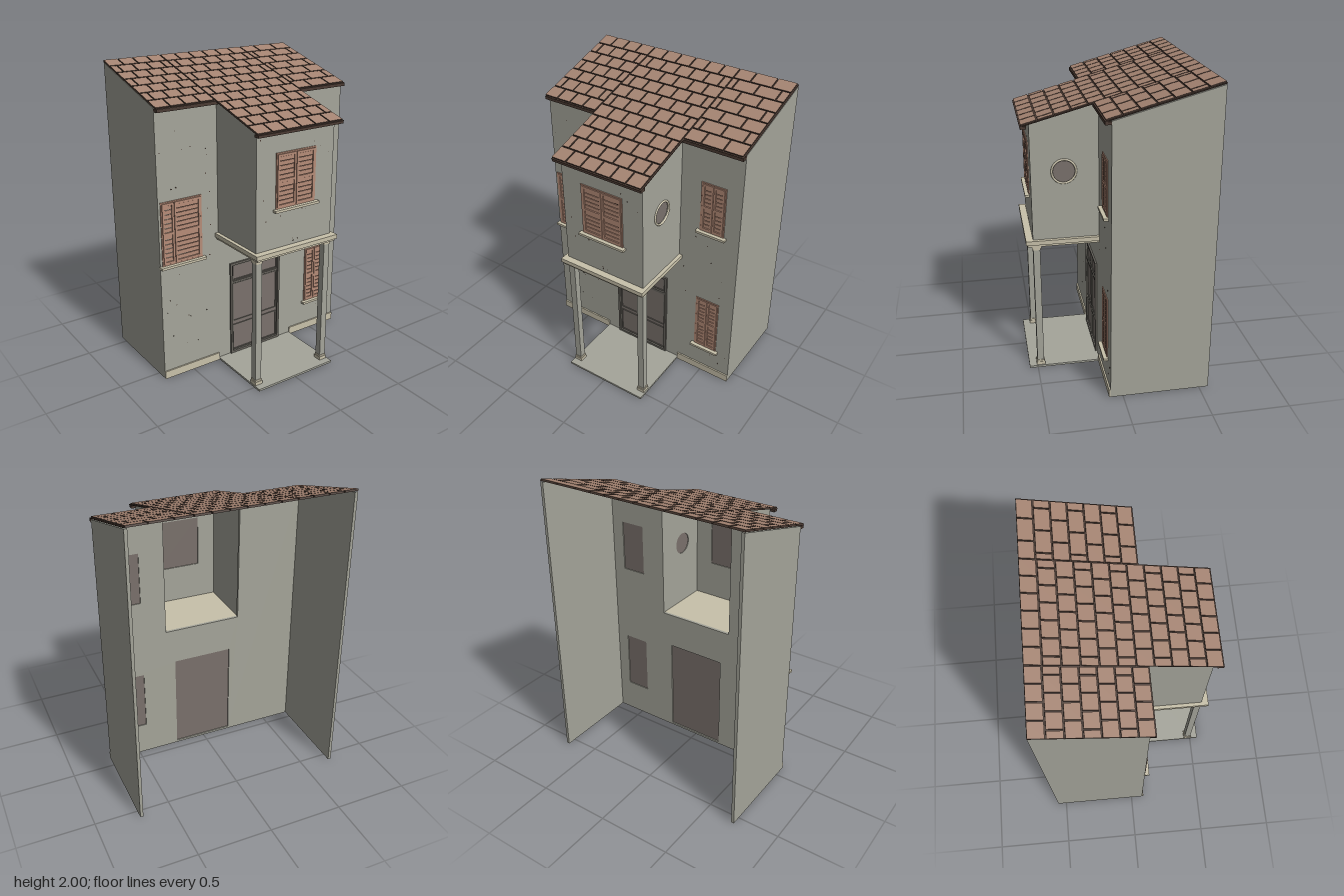
import * as THREE from 'three';

const mat = (name, color) => Object.assign(new THREE.MeshStandardMaterial({ color }), { name });
const plaster = mat('grey plaster', 0xa5a59a);
const stone = mat('cream stone', 0xc8c1aa);
const wood = mat('terracotta shutter', 0xb68c78);
const tileMat = mat('clay tile', 0xa58472);
const dark = mat('dark brown', 0x4a3a32);
const glass = mat('grey brown panel', 0x7a716c);
const frameMat = mat('door frame', 0x67645d);

const SLOPE = 0.2735, BACK = -0.56, FRONT = 0.08, BAY = 0.5, T = 0.02;
const roofY = z => 1.981 - SLOPE * (z - BACK);

// Box given by its extents on each axis
function box(parent, name, material, x0, x1, y0, y1, z0, z1) {
  const m = new THREE.Mesh(new THREE.BoxGeometry(x1 - x0, y1 - y0, z1 - z0), material);
  m.position.set((x0 + x1) / 2, (y0 + y1) / 2, (z0 + z1) / 2);
  m.name = name;
  parent.add(m);
  return m;
}

function group(parent, name) {
  const g = new THREE.Group();
  g.name = name;
  parent.add(g);
  return g;
}

const polygon = pts => new THREE.Shape(pts.map(p => new THREE.Vector2(...p)));
const rectHole = ([x0, x1, y0, y1]) => polygon([[x0, y0], [x0, y1], [x1, y1], [x1, y0]]);

// Wall facing +z whose outer face lies at z
function frontWall(parent, name, pts, holes, z) {
  const s = polygon(pts);
  s.holes = holes.map(rectHole);
  const m = new THREE.Mesh(new THREE.ExtrudeGeometry(s, { depth: T, bevelEnabled: false }), plaster);
  m.position.z = z - T;
  m.name = name;
  parent.add(m);
}

// Wall in the z-y plane with a sloping top, spanning x - T to x
function sideWall(parent, name, x, z0, z1, y0, round) {
  const s = polygon([[z0, y0], [z1, y0], [z1, roofY(z1)], [z0, roofY(z0)]]);
  if (round) s.holes.push(new THREE.Path().absarc(round.z, round.y, round.r, 0, Math.PI * 2, true));
  const geo = new THREE.ExtrudeGeometry(s, { depth: T, bevelEnabled: false, curveSegments: 32 });
  const m = new THREE.Mesh(geo.rotateY(-Math.PI / 2), plaster);
  m.position.x = x;
  m.name = name;
  parent.add(m);
}

// Rectangular border of four bars
function border(g, name, material, [x0, x1, y0, y1], w, z0, z1) {
  box(g, name, material, x0, x0 + w, y0, y1, z0, z1);
  box(g, name, material, x1 - w, x1, y0, y1, z0, z1);
  box(g, name, material, x0 + w, x1 - w, y0, y0 + w, z0, z1);
  box(g, name, material, x0 + w, x1 - w, y1 - w, y1, z0, z1);
}

// Louvred shutter pair with pane behind and sill below; split is the x of the meeting stiles
function shutters(parent, name, rect, split, z) {
  const g = group(parent, name);
  const [x0, x1, y0, y1] = rect;
  box(g, 'pane', glass, x0, x1, y0, y1, z - 0.014, z - 0.006);
  box(g, 'shutterBacking', dark, x0 + 0.005, x1 - 0.005, y0 + 0.005, y1 - 0.005, z - 0.006, z);
  border(g, 'windowFrame', wood, rect, 0.008, z - 0.006, z + 0.006);
  for (const [a, b] of [[x0 + 0.01, split - 0.002], [split + 0.002, x1 - 0.01]]) {
    const bottom = y0 + 0.01, top = y1 - 0.01, mid = (bottom + top) / 2;
    border(g, 'leafFrame', wood, [a, b, bottom, top], 0.014, z, z + 0.009);
    box(g, 'leafRail', wood, a + 0.014, b - 0.014, mid - 0.009, mid + 0.009, z, z + 0.009);
    for (const [lo, hi] of [[bottom + 0.014, mid - 0.009], [mid + 0.009, top - 0.014]]) {
      const n = Math.round((hi - lo) / 0.03), p = (hi - lo) / n;
      for (let i = 0; i < n; i++)
        box(g, 'louvre', wood, a + 0.016, b - 0.016, lo + i * p + 0.004, lo + (i + 1) * p - 0.002, z, z + 0.005);
    }
  }
  box(g, 'sill', stone, x0 - 0.018, x1 + 0.018, y0 - 0.016, y0, z - 0.005, z + 0.03);
}

// Sloping deck covered with staggered tiles
function roofPart(parent, name, x0, x1, zEnd, rows, w, phase) {
  const g = group(parent, name);
  const len = (zEnd - BACK) * Math.hypot(1, SLOPE), p = len / rows, gap = 0.009;
  box(g, 'roofDeck', dark, x0, x1, -0.005, 0, 0, len);
  const faces = [dark, dark, tileMat, dark, dark, dark];
  for (let r = 0; r < rows; r++) {
    const shift = (phase + (r % 2) * 0.5) % 1;
    for (let k = -1; x0 + (k + shift) * w < x1 - 0.012; k++) {
      const a = Math.max(x0, x0 + (k + shift) * w), b = Math.min(x1, x0 + (k + 1 + shift) * w);
      if (b - a > 0.015) box(g, 'tile', faces, a, b - gap, 0, 0.008, r * p, (r + 1) * p - gap);
    }
  }
  g.rotation.x = Math.atan(SLOPE);
  g.position.set(0, 1.991, BACK);
}

export function createModel() {
  const house = new THREE.Group();
  house.name = 'house';

  const leftWindow = [-0.70, -0.41, 0.805, 1.225];
  const upperWindow = [0.44, 0.61, 1.195, 1.545];
  const lowerWindow = [0.44, 0.61, 0.23, 0.645];
  const bayWindow = [-0.145, 0.155, 1.195, 1.545];
  const door = [-0.2, 0.21, 0.015, 0.695];

  // Main walls, open at the back, with a notch leading into the bay
  const top = roofY(FRONT);
  frontWall(house, 'frontWall', [[-0.695, 0], [0.695, 0], [0.695, top], [0.272, top], [0.272, 0.94],
    [-0.262, 0.94], [-0.262, top], [-0.695, top]], [leftWindow, upperWindow, lowerWindow, door], FRONT);
  sideWall(house, 'leftSideWall', 0.715, BACK, FRONT, 0);
  sideWall(house, 'rightSideWall', -0.695, BACK, FRONT, 0);
  box(house, 'plinth', stone, -0.715, -0.295, 0, 0.053, FRONT, FRONT + 0.01);
  box(house, 'plinth', stone, 0.31, 0.715, 0, 0.053, FRONT, FRONT + 0.01);

  // Projecting bay
  const bay = group(house, 'bay');
  const round = { z: 0.296, y: 1.385, r: 0.073 };
  const bayTop = roofY(BAY);
  frontWall(bay, 'bayFrontWall', [[-0.267, 0.94], [0.277, 0.94], [0.277, bayTop], [-0.267, bayTop]], [bayWindow], BAY);
  sideWall(bay, 'bayLeftWall', 0.297, FRONT, BAY, 0.94, round);
  sideWall(bay, 'bayRightWall', -0.267, FRONT, BAY, 0.94);
  box(bay, 'baySlab', stone, -0.31, 0.32, 0.912, 0.94, FRONT, 0.545);
  box(bay, 'baySlabMoulding', stone, -0.3, 0.31, 0.897, 0.912, FRONT, 0.535);
  const ring = new THREE.Mesh(new THREE.TorusGeometry(0.075, 0.007, 8, 40), stone);
  const pane = new THREE.Mesh(new THREE.CylinderGeometry(round.r, round.r, 0.006, 40).rotateX(Math.PI / 2), glass);
  ring.name = 'roundWindowFrame';
  pane.name = 'roundWindowPane';
  ring.position.set(0.298, round.y, round.z);
  pane.position.set(0.285, round.y, round.z);
  for (const m of [ring, pane]) {
    m.rotation.y = Math.PI / 2;
    bay.add(m);
  }

  // Porch slab and columns
  const porch = group(house, 'porch');
  box(porch, 'porchFloor', plaster, -0.295, 0.31, 0, 0.014, FRONT, 0.555);
  for (const x of [-0.264, 0.274]) {
    const z = 0.479;
    const block = (name, m, h, y0, y1) => box(porch, name, m, x - h, x + h, y0, y1, z - h, z + h);
    block('column', plaster, 0.022, 0.04, 0.88);
    block('columnBase', stone, 0.028, 0.014, 0.037);
    block('columnBaseTop', stone, 0.025, 0.037, 0.05);
    block('columnNeck', stone, 0.025, 0.868, 0.882);
    block('columnCapital', stone, 0.029, 0.882, 0.897);
  }

  // Double door with transom lights
  const entry = group(house, 'entrance');
  box(entry, 'doorPanel', glass, ...door, FRONT - 0.012, FRONT - 0.002);
  border(entry, 'doorFrame', frameMat, door, 0.016, FRONT - 0.01, FRONT + 0.012);
  box(entry, 'transomBar', frameMat, -0.184, 0.194, 0.548, 0.562, FRONT - 0.002, FRONT + 0.01);
  box(entry, 'meetingStile', frameMat, 0.0, 0.01, 0.031, 0.679, FRONT - 0.002, FRONT + 0.008);
  for (const [a, b] of [[-0.178, -0.006], [0.016, 0.188]]) {
    for (const [lo, hi] of [[0.036, 0.23], [0.256, 0.543], [0.567, 0.676]]) {
      border(entry, 'panelMoulding', frameMat, [a, b, lo, hi], 0.006, FRONT - 0.002, FRONT + 0.004);
    }
  }

  // Shuttered windows
  shutters(house, 'leftWindow', leftWindow, -0.607, FRONT);
  shutters(house, 'upperWindow', upperWindow, 0.525, FRONT);
  shutters(house, 'lowerWindow', lowerWindow, 0.525, FRONT);
  shutters(bay, 'bayWindow', bayWindow, 0.005, BAY);

  // Tiled roof with gutters along the eaves
  const roof = group(house, 'roof');
  roofPart(roof, 'rightWingRoof', -0.717, -0.312, 0.118, 7, 0.101, 0);
  roofPart(roof, 'centreRoof', -0.312, 0.325, 0.555, 11, 0.1062, 0);
  roofPart(roof, 'leftWingRoof', 0.325, 0.715, 0.118, 7, 0.146, 0.79);
  box(roof, 'gutter', dark, -0.715, -0.29, 1.785, 1.803, FRONT, 0.118);
  box(roof, 'gutter', dark, 0.3, 0.715, 1.785, 1.803, FRONT, 0.118);
  box(roof, 'gutter', dark, -0.31, 0.323, 1.668, 1.684, 0.515, 0.552);

  // Small pits scattered over the plaster
  let seed = 7;
  const rnd = () => (seed = (seed * 16807) % 2147483647) / 2147483647;
  const pits = group(house, 'plasterPits');
  const windows = [leftWindow, upperWindow, lowerWindow, bayWindow, door];
  for (let i = 0; i < 90; i++) {
    const x = (rnd() - 0.5) * 1.38, y = 0.08 + rnd() * 1.58, s = 0.002 + rnd() * 0.002;
    const inBay = x > -0.32 && x < 0.33;
    if (inBay && y < 0.96 || windows.some(([a, b, c, d]) => x > a - 0.03 && x < b + 0.03 && y > c - 0.03 && y < d + 0.02)) continue;
    if (inBay && (x < -0.27 || x > 0.28)) continue;
    const z = inBay ? BAY : FRONT;
    box(pits, 'pit', dark, x - s, x + s, y - s, y + s, z, z + 0.001);
  }
  return house;
}
